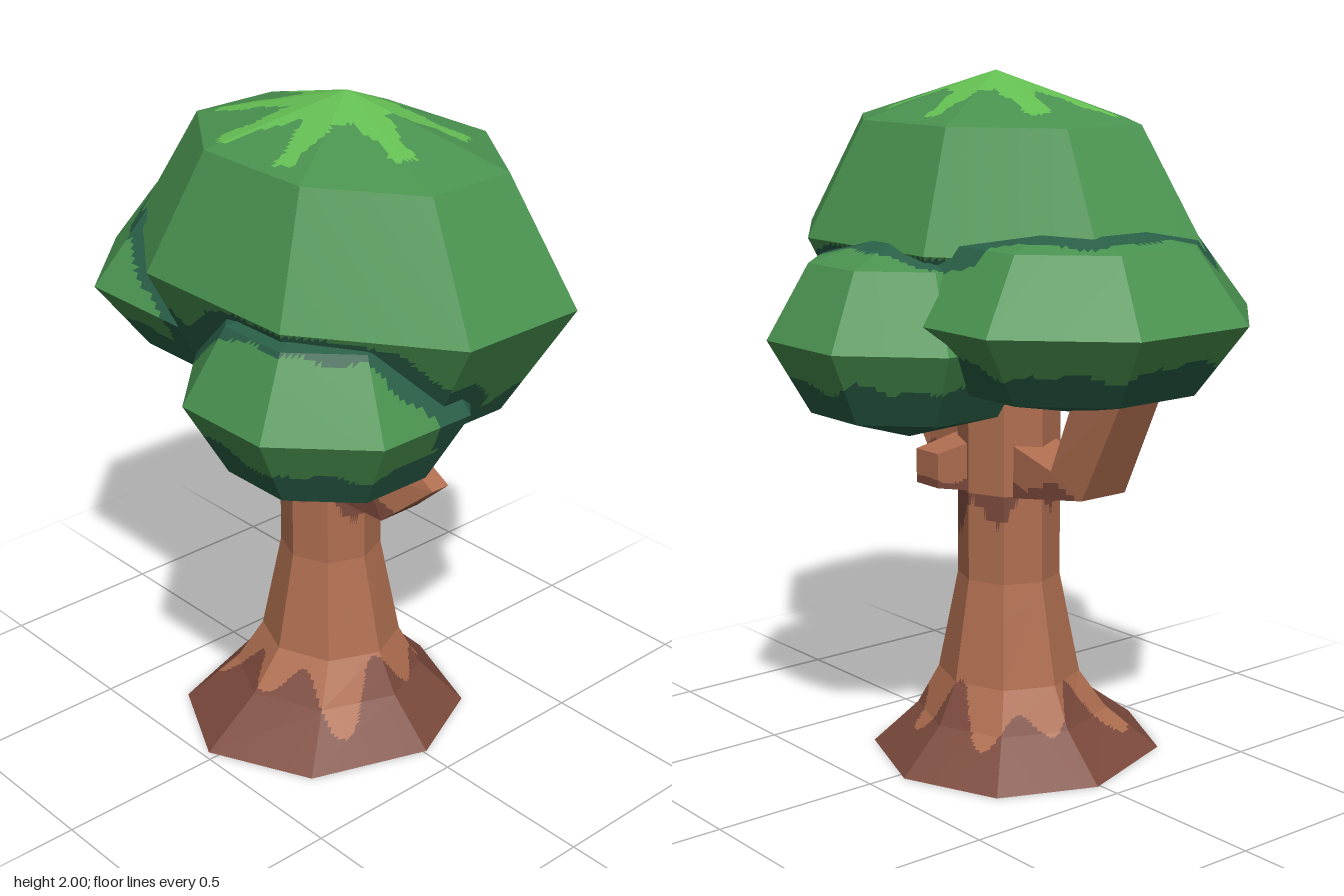
import * as THREE from 'three';

const V = (x, y, z) => new THREE.Vector3(x, y, z);
const mat = (name, color) => {
  const m = new THREE.MeshStandardMaterial({ color });
  m.name = name;
  return m;
};

// Loft through rings, close both ends, cut every face finely and sort the
// pieces into two material groups with paint(point) -> 0 or 1.
function loft(name, rings, materials, paint, cuts) {
  const centre = (ring) => {
    const c = V(0, 0, 0);
    ring.forEach((p) => c.add(p));
    return ring.map(() => c.clone().divideScalar(ring.length));
  };
  const all = [centre(rings[0]), ...rings, centre(rings[rings.length - 1])];
  const lists = materials.map(() => []);
  const put = (a, b, c) => {
    const mid = a.clone().add(b).add(c).divideScalar(3);
    lists[paint(mid)].push(...a.toArray(), ...b.toArray(), ...c.toArray());
  };
  const face = (a, b, c) => {
    const ab = b.clone().sub(a), ac = c.clone().sub(a);
    if (ab.clone().cross(ac).length() < 1e-6) return;
    const at = (i, j) => a.clone().addScaledVector(ab, i / cuts).addScaledVector(ac, j / cuts);
    for (let i = 0; i < cuts; i++) {
      for (let j = 0; j < cuts - i; j++) {
        put(at(i, j), at(i + 1, j), at(i, j + 1));
        if (i + j < cuts - 1) put(at(i + 1, j), at(i + 1, j + 1), at(i, j + 1));
      }
    }
  };
  for (let r = 0; r < all.length - 1; r++) {
    const lo = all[r], hi = all[r + 1], n = lo.length;
    for (let k = 0; k < n; k++) {
      const m = (k + 1) % n;
      face(lo[k], lo[m], hi[m]);
      face(lo[k], hi[m], hi[k]);
    }
  }
  const geo = new THREE.BufferGeometry();
  geo.setAttribute('position', new THREE.Float32BufferAttribute(lists.flat(), 3));
  let start = 0;
  lists.forEach((list, i) => {
    if (list.length) geo.addGroup(start, list.length / 3, i);
    start += list.length / 3;
  });
  geo.computeVertexNormals();
  const mesh = new THREE.Mesh(geo, materials);
  mesh.name = name;
  return mesh;
}

// Leaf clumps: centre, half sizes, half height of the belts and of the whole
const clumps = {
  crown: { x: 0.12, y: 1.525, z: 0.065, w: 0.67, d: 0.475, belt: 0.335, h: 0.475 },
  frontClump: { x: 0.31, y: 1.28, z: 0.3, w: 0.38, d: 0.37, belt: 0.21, h: 0.295 },
  backClump: { x: 0.05, y: 1.28, z: -0.31, w: 0.38, d: 0.37, belt: 0.21, h: 0.295 },
  sideClump: { x: -0.32, y: 1.355, z: -0.01, w: 0.47, d: 0.475, belt: 0.2, h: 0.28 },
};

const octagon = [[1, 0.41], [1, -0.41], [0.41, -1], [-0.41, -1], [-1, -0.41], [-1, 0.41], [-0.41, 1], [0.41, 1]];
const clumpRing = (c, y, s) => octagon.map(([u, v]) => V(c.x + u * c.w * s, c.y + y, c.z + v * c.d * s));
const clumpRings = (c) => [
  clumpRing(c, -c.h, 0), clumpRing(c, -c.belt, 0.7), clumpRing(c, 0, 1),
  clumpRing(c, c.belt, 0.7), clumpRing(c, c.h, 0),
];

// True when a point lies inside a clump or within the margin around it
function near(p, c, margin) {
  const u = Math.abs(p.x - c.x) / c.w, v = Math.abs(p.z - c.z) / c.d;
  const t = Math.abs(p.y - c.y);
  const s = t < c.belt ? 1 - 0.3 * t / c.belt : 0.7 * (c.h - t) / (c.h - c.belt);
  return s > -0.1 && Math.max(u, v, (u + v) / 1.41) < s + margin;
}

const wave = (p) => Math.sin(p.x * 17 + 1) * Math.cos(p.z * 15) + 0.5 * Math.sin((p.x - p.z) * 29);

// Bright star on top of the crown
const starTips = [[0.06, -0.22], [0.39, -0.12], [0.44, 0.15], [0.2, 0.36], [-0.07, 0.35], [-0.28, 0.18], [-0.22, -0.05]];
function onStar(p) {
  const { x, z } = clumps.crown;
  const px = p.x - x, pz = p.z - z;
  if (p.y < 1.8) return false;
  if (Math.hypot(px, pz) < 0.14) return true;
  return starTips.some(([tx, tz]) => {
    const ax = tx - x, az = tz - z, len = Math.hypot(ax, az);
    const along = (px * ax + pz * az) / len;
    const off = Math.abs(px * az - pz * ax) / len;
    return along > 0 && along < len && off < 0.065 - 0.04 * along / len + 0.006 * Math.sin(along * 45);
  });
}

export function createModel() {
  const tree = new THREE.Group();
  tree.name = 'tree';
  const bark = mat('bark', 0xaf6e50);
  const darkBark = mat('darkBark', 0x7d4a3d);
  const leaf = mat('leaf', 0x4a9350);
  const darkLeaf = mat('darkLeaf', 0x2a6048);
  const brightLeaf = mat('brightLeaf', 0x64c053);

  // Crown and the three clumps below it
  const { crown, ...lower } = clumps;
  tree.add(loft('crown', clumpRings(crown), [leaf, darkLeaf, brightLeaf], (p) => {
    if (onStar(p)) return 2;
    if (p.y > 1.52) return 0;
    const touching = Object.values(lower).some((c) => near(p, c, 0.16 + 0.03 * wave(p)));
    return touching || p.y < 1.28 + 0.025 * wave(p) ? 1 : 0;
  }, 24));
  for (const [name, c] of Object.entries(lower)) {
    tree.add(loft(name, clumpRings(c), [leaf, darkLeaf], (p) => {
      const under = p.y < c.y - c.belt * 0.52 + 0.02 * wave(p);
      return under || near(p, crown, 0.1 + 0.025 * wave(p)) ? 1 : 0;
    }, 14));
  }

  // Trunk flaring into the roots: height, then reach to +x, -x, +z, -z
  const sections = [
    [0, 0.4, -0.43, 0.48, -0.4],
    [0.13, 0.26, -0.3, 0.3, -0.27],
    [0.25, 0.19, -0.24, 0.2, -0.21],
    [0.55, 0.12, -0.18, 0.14, -0.16],
    [1.22, 0.12, -0.18, 0.14, -0.16],
  ];
  const trunkRings = sections.map(([y, xp, xn, zp, zn]) => Array.from({ length: 8 }, (_, k) => {
    const a = k * Math.PI / 4, cx = -0.03, cz = -0.01;
    const c = Math.cos(a), s = -Math.sin(a);
    return V(cx + c * (c > 0 ? xp - cx : cx - xn), y, cz + s * (s > 0 ? zp - cz : cz - zn));
  }));
  tree.add(loft('trunk', trunkRings, [bark, darkBark], (p) => {
    const a = Math.atan2(p.z + 0.01, p.x + 0.03);
    const roots = 0.16 + 0.06 * Math.sin(a * 7 + 0.6) + 0.04 * Math.sin(a * 4 + 2);
    const belowBranch = p.y < 0.82 && p.y > 0.76 - 0.09 * Math.cos(a * 2 - 0.9) * Math.cos(a * 3 - 0.4);
    const belowLeaves = p.y > 1.1 + 0.03 * Math.sin(a * 5);
    return p.y < roots || belowBranch || belowLeaves ? 1 : 0;
  }, 18));

  // Branches drawn along +x, then turned: [top x, top y, low x, low y, z0, z1]
  const branch = (name, turn, parts) => {
    const rings = parts.map(([tx, ty, lx, ly, z0, z1]) => [V(lx, ly, z1), V(lx, ly, z0), V(tx, ty, z0), V(tx, ty, z1)]);
    const mesh = loft(name, rings, [bark, darkBark],
      (p) => (p.y < 0.862 + 0.02 * Math.sin(p.x * 24) ? 1 : 0), 12);
    mesh.rotation.y = turn;
    tree.add(mesh);
  };
  branch('leftBranch', 0, [
    [0, 0.98, 0, 0.805, 0, 0.13],
    [0.28, 0.95, 0.35, 0.825, 0, 0.14],
    [0.43, 1.01, 0.51, 0.965, 0.04, 0.1],
  ]);
  branch('rightBranch', Math.PI, [
    [0.05, 0.985, 0.05, 0.79, -0.07, 0.09],
    [0.31, 0.915, 0.44, 0.855, -0.07, 0.09],
    [0.42, 1.2, 0.61, 1.2, -0.06, 0.08],
  ]);
  branch('backStub', Math.PI / 2, [
    [0.08, 0.965, 0.08, 0.8, -0.02, 0.1],
    [0.255, 0.935, 0.255, 0.835, -0.01, 0.09],
  ]);
  return tree;
}
